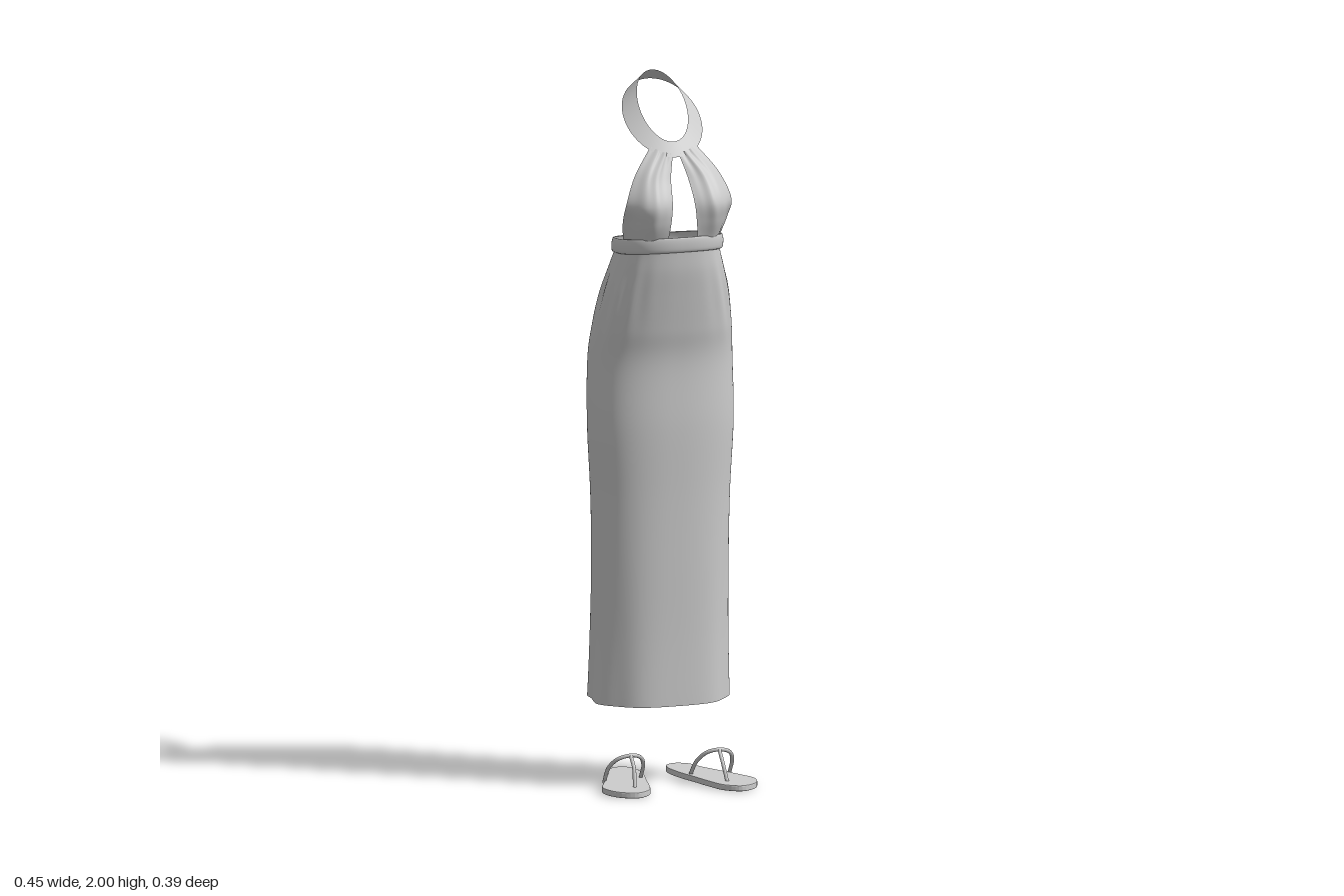
import * as THREE from 'three';

const material = new THREE.MeshStandardMaterial({ color: 0xcccccc, side: THREE.DoubleSide, roughness: 0.9 });
const V = (x, y, z) => new THREE.Vector3(x, y, z);

// Smooth sheet from point(u, v), both 0..1; closed joins u = 1 back to u = 0.
function sheet(name, nu, nv, closed, point) {
  const positions = [], index = [], cols = closed ? nu : nu + 1;
  for (let j = 0; j <= nv; j++)
    for (let i = 0; i < cols; i++) positions.push(...point(i / nu, j / nv).toArray());
  for (let j = 0; j < nv; j++)
    for (let i = 0; i < nu; i++) {
      const a = j * cols + i, b = j * cols + (i + 1) % cols;
      index.push(a, b, a + cols, b, b + cols, a + cols);
    }
  const geometry = new THREE.BufferGeometry();
  geometry.setAttribute('position', new THREE.Float32BufferAttribute(positions, 3));
  geometry.setIndex(index);
  geometry.computeVertexNormals();
  return named(name, geometry);
}

function named(name, geometry) {
  const mesh = new THREE.Mesh(geometry, material);
  mesh.name = name;
  return mesh;
}

// Rounded-square body ring lofted through rows of [y, half width, front z, back z, rise at back].
function loft(name, rows, nv, folds) {
  const widths = new THREE.SplineCurve(rows.map(r => new THREE.Vector2(r[0], r[1])));
  const depths = new THREE.CatmullRomCurve3(rows.map(r => V(r[2], r[3], r[4])), false, 'catmullrom');
  const soft = c => Math.sign(c) * Math.abs(c) ** 0.84;
  return sheet(name, 120, nv, true, (u, v) => {
    const a = u * Math.PI * 2, { x: y, y: w } = widths.getPoint(v), d = depths.getPoint(v);
    const back = (1 - Math.cos(a)) / 2, k = 1 + folds(a, y, back);
    const mid = (d.x + d.y) / 2, half = (d.x - d.y) / 2;
    return V(w * k * soft(Math.sin(a)), y + d.z * back, mid + half * k * soft(Math.cos(a)));
  });
}

// Folds: gathers below the waist at the sides, and a hem that ripples mostly at the back.
function skirtFolds(a, y, back) {
  const gather = Math.exp(-(((y - 1.4) / 0.1) ** 2)) * Math.sin(a) ** 2;
  const hem = Math.max(0, 1 - (y - 0.23) / 0.75) ** 1.5;
  return 0.022 * gather * Math.cos(17 * a + 5 * y) + hem * (0.012 + 0.05 * back) * Math.cos(7 * a + 2.6);
}

// Halter half: rows run from collar to waist, each bowed from inner edge to outer edge.
function halterHalf(s) {
  const rows = [
    [V(0.008, 1.795, 0.083), V(0.036, 1.80, 0.079), V(0.066, 1.815, 0.06)],
    [V(0.025, 1.73, 0.113), V(0.08, 1.735, 0.122), V(0.127, 1.735, 0.092)],
    [V(0.033, 1.66, 0.148), V(0.095, 1.66, 0.163), V(0.157, 1.66, 0.108)],
    [V(0.038, 1.61, 0.15), V(0.1, 1.61, 0.152), V(0.156, 1.61, 0.08)],
    [V(0.045, 1.55, 0.138), V(0.1, 1.55, 0.122), V(0.144, 1.55, 0.05)],
  ];
  const edges = [0, 1, 2].map(k => new THREE.CatmullRomCurve3(rows.map(r => r[k])));
  return sheet(s > 0 ? 'leftHalterPanel' : 'rightHalterPanel', 24, 32, false, (u, v) => {
    const p = new THREE.CatmullRomCurve3(edges.map(e => e.getPoint(v))).getPoint(u);
    p.z += 0.003 * Math.sin(u * 20) * (1 - v) * Math.sin(Math.PI * u);
    p.x *= s;
    return p;
  });
}

function sandal(s) {
  const group = new THREE.Group();
  group.name = s > 0 ? 'leftSandal' : 'rightSandal';
  // Sole outline in x, z, toes turned outwards
  const outline = [
    [0.085, -0.147], [0.12, -0.128], [0.138, -0.08], [0.172, -0.01], [0.203, 0.05], [0.226, 0.11], [0.205, 0.172],
    [0.155, 0.199], [0.111, 0.17], [0.088, 0.11], [0.07, 0.04], [0.051, -0.03], [0.044, -0.1], [0.056, -0.134],
  ].map(([x, z]) => V(x * s, -z, 0));
  const shape = new THREE.Shape(new THREE.CatmullRomCurve3(outline, true).getPoints(70).slice(0, -1)
    .map(p => new THREE.Vector2(p.x, p.y)));
  const sole = new THREE.ExtrudeGeometry(shape, {
    depth: 0.011, bevelEnabled: true, bevelThickness: 0.003, bevelSize: 0.003, bevelOffset: -0.003, bevelSegments: 2,
  });
  sole.rotateX(-Math.PI / 2).translate(0, 0.003, 0);
  // Raise the heel a little
  const pos = sole.attributes.position;
  for (let i = 0; i < pos.count; i++) pos.setY(i, pos.getY(i) + (0.2 - pos.getZ(i)) * 0.03);
  sole.computeVertexNormals();
  group.add(named('sole', sole));

  const strap = (name, points) => named(name, new THREE.TubeGeometry(
    new THREE.CatmullRomCurve3(points.map(([x, y, z]) => V(x * s, y, z))), 32, 0.0055, 8));
  group.add(strap('archStrap', [[0.074, 0.016, 0], [0.08, 0.065, 0.04], [0.1, 0.092, 0.067], [0.132, 0.1, 0.078],
    [0.166, 0.09, 0.068], [0.184, 0.062, 0.042], [0.186, 0.016, 0.012]]));
  group.add(strap('toeStrap', [[0.132, 0.1, 0.078], [0.132, 0.068, 0.104], [0.138, 0.014, 0.126]]));
  return group;
}

export function createModel() {
  const model = new THREE.Group();
  model.name = 'halterDressAndSandals';

  model.add(loft('skirt', [
    [0.23, 0.197, 0.078, -0.185, 0.012],
    [0.42, 0.194, 0.08, -0.177, 0.01],
    [0.62, 0.194, 0.085, -0.17, 0],
    [0.82, 0.198, 0.09, -0.168, 0],
    [1.02, 0.208, 0.097, -0.17, 0],
    [1.2, 0.205, 0.097, -0.176, 0],
    [1.3, 0.196, 0.113, -0.158, 0],
    [1.4, 0.178, 0.129, -0.138, -0.01],
    [1.47, 0.16, 0.139, -0.124, -0.02],
    [1.53, 0.144, 0.142, -0.108, -0.03],
  ], 90, skirtFolds));

  model.add(loft('waistband', [
    [1.525, 0.144, 0.142, -0.109, -0.03],
    [1.53, 0.152, 0.149, -0.115, -0.03],
    [1.55, 0.154, 0.151, -0.113, -0.03],
    [1.567, 0.151, 0.149, -0.107, -0.03],
    [1.567, 0.146, 0.143, -0.102, -0.03],
  ], 16, () => 0));

  // Collar: flat band sloping up from the chest to the nape
  model.add(sheet('collar', 96, 6, true, (u, v) => {
    const a = u * Math.PI * 2, c = Math.cos(a), mix = THREE.MathUtils.lerp;
    return V(mix(0.112, 0.069, v) * Math.sin(a), mix(1.8775 - 0.0925 * c, 1.9125 - 0.0875 * c, v),
      mix(-0.0225 + 0.1125 * c, -0.02 + 0.085 * c, v));
  }));

  for (const s of [1, -1]) model.add(halterHalf(s), sandal(s));
  return model;
}
